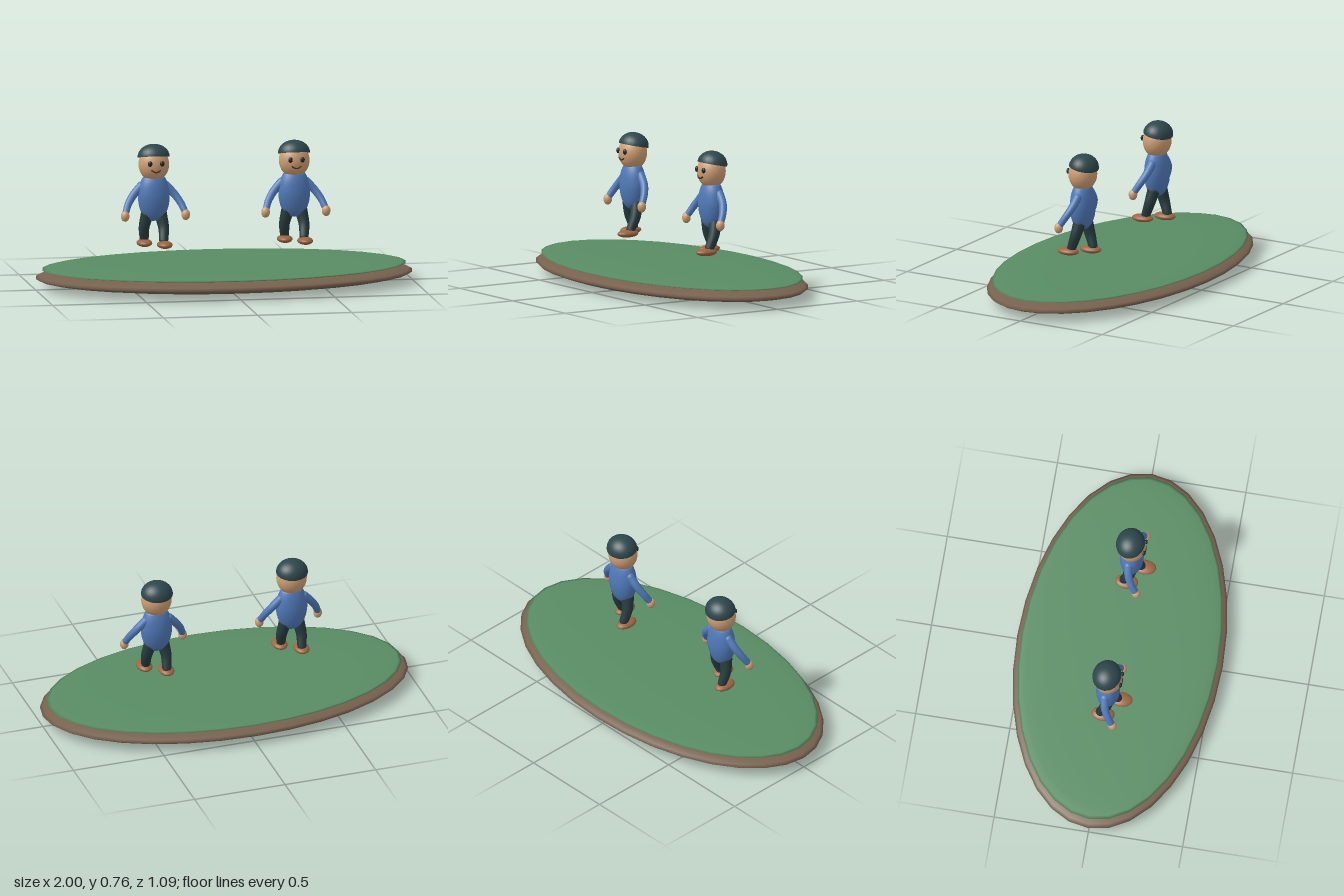
import * as THREE from 'three';

const mat = (name, color) => {
  const m = new THREE.MeshStandardMaterial({ color });
  m.name = name;
  return m;
};

export function createModel() {
  const soil = mat('soil brown', 0x78614e);
  const grass = mat('grass green', 0x588c63);
  const shirt = mat('shirt blue', 0x5079b8);
  const skin = mat('skin', 0xcf9f74);
  const capColor = mat('cap slate', 0x2d464c);
  const trousers = mat('trousers dark', 0x263a3d);
  const leather = mat('shoe leather', 0x9c6541);
  const ink = mat('face dark', 0x1c2a30);
  const lip = mat('mouth brown', 0x4a2a20);

  const add = (parent, name, geo, material, x = 0, y = 0, z = 0) => {
    const mesh = new THREE.Mesh(geo, material);
    mesh.name = name;
    mesh.position.set(x, y, z);
    parent.add(mesh);
    return mesh;
  };
  const ball = (rx, ry, rz, w = 24, h = 16) => new THREE.SphereGeometry(1, w, h).scale(rx, ry, rz);

  // Tapered limb swept along a smooth curve, with rounded ends
  const limb = (parent, name, points, r0, r1, material) => {
    const curve = new THREE.CatmullRomCurve3(points.map(p => new THREE.Vector3(...p)));
    const segs = 12, sides = 14;
    const geo = new THREE.TubeGeometry(curve, segs, 1, sides);
    const pos = geo.attributes.position, v = new THREE.Vector3();
    for (let i = 0; i < pos.count; i++) {
      const t = Math.floor(i / (sides + 1)) / segs;
      const c = curve.getPointAt(t);
      v.fromBufferAttribute(pos, i).sub(c).multiplyScalar(r0 + (r1 - r0) * t).add(c);
      pos.setXYZ(i, v.x, v.y, v.z);
    }
    add(parent, name, geo, material);
    add(parent, name + 'Top', ball(r0, r0, r0, 14, 10), material, ...points[0]);
    add(parent, name + 'End', ball(r1, r1, r1, 14, 10), material, ...points[points.length - 1]);
  };

  const makeFigure = (name, x) => {
    const f = new THREE.Group();
    f.name = name;
    f.position.x = x;

    // Egg-shaped torso, flattened front to back
    const profile = [[0, 0.35], [0.032, 0.355], [0.058, 0.378], [0.076, 0.42], [0.084, 0.465],
      [0.083, 0.50], [0.076, 0.54], [0.063, 0.572], [0.05, 0.584], [0, 0.586]];
    const torso = new THREE.LatheGeometry(
      new THREE.SplineCurve(profile.map(p => new THREE.Vector2(...p))).getPoints(24)
        .map(p => p.setX(Math.max(0, p.x))), 24);
    torso.scale(1, 1, 0.74);
    add(f, 'torso', torso, shirt);

    // Head with tilted cap
    add(f, 'head', ball(0.081, 0.09, 0.074), skin, 0, 0.65, 0);
    const dome = new THREE.SphereGeometry(1, 24, 12, 0, Math.PI * 2, 0, Math.PI * 0.5);
    const cap = add(f, 'cap', dome.scale(0.085, 0.069, 0.077), capColor, 0, 0.687, -0.006);
    cap.rotation.x = -0.2;
    const base = new THREE.CircleGeometry(1, 24).rotateX(Math.PI / 2).scale(0.085, 1, 0.077);
    add(cap, 'capUnderside', base, capColor);

    // Smile
    const smile = new THREE.QuadraticBezierCurve3(new THREE.Vector3(-0.024, 0.629, 0.069),
      new THREE.Vector3(0, 0.604, 0.076), new THREE.Vector3(0.024, 0.629, 0.069));
    add(f, 'mouth', new THREE.TubeGeometry(smile, 12, 0.004, 6), lip);

    for (const s of [-1, 1]) {
      const side = s > 0 ? 'left' : 'right';
      add(f, side + 'Eye', ball(0.012, 0.015, 0.009, 14, 10), ink, s * 0.032, 0.662, 0.07);

      // Arms swing out and forward
      limb(f, side + 'Arm', [[s * 0.066, 0.535, -0.008], [s * 0.108, 0.49, 0],
        [s * 0.139, 0.445, 0.02], [s * 0.156, 0.405, 0.042]], 0.023, 0.018, shirt);
      add(f, side + 'Hand', ball(0.023, 0.029, 0.023, 16, 12), skin, s * 0.161, 0.386, 0.05);

      // Walking legs, left one forward
      const ankle = s > 0 ? 0.042 : -0.035;
      limb(f, side + 'Leg', [[s * 0.036, 0.385, 0], [s * 0.049, 0.315, ankle * 0.4],
        [s * 0.045, 0.25, ankle]], 0.034, 0.024, trousers);
      add(f, side + 'Shoe', ball(0.041, 0.02, 0.061, 20, 12), leather,
        s * 0.047, 0.231, s > 0 ? 0.061 : -0.019);
    }
    return f;
  };

  const model = new THREE.Group();
  model.name = 'islandWithWalkers';

  // Oval island: two flattened ellipsoids
  add(model, 'soilBase', ball(1, 0.058, 0.545, 32, 16), soil, 0, 0.058, 0);
  add(model, 'grassTop', ball(0.965, 0.019, 0.52, 32, 16), grass, 0, 0.102, 0);

  model.add(makeFigure('rightWalker', -0.373), makeFigure('leftWalker', 0.373));
  return model;
}
